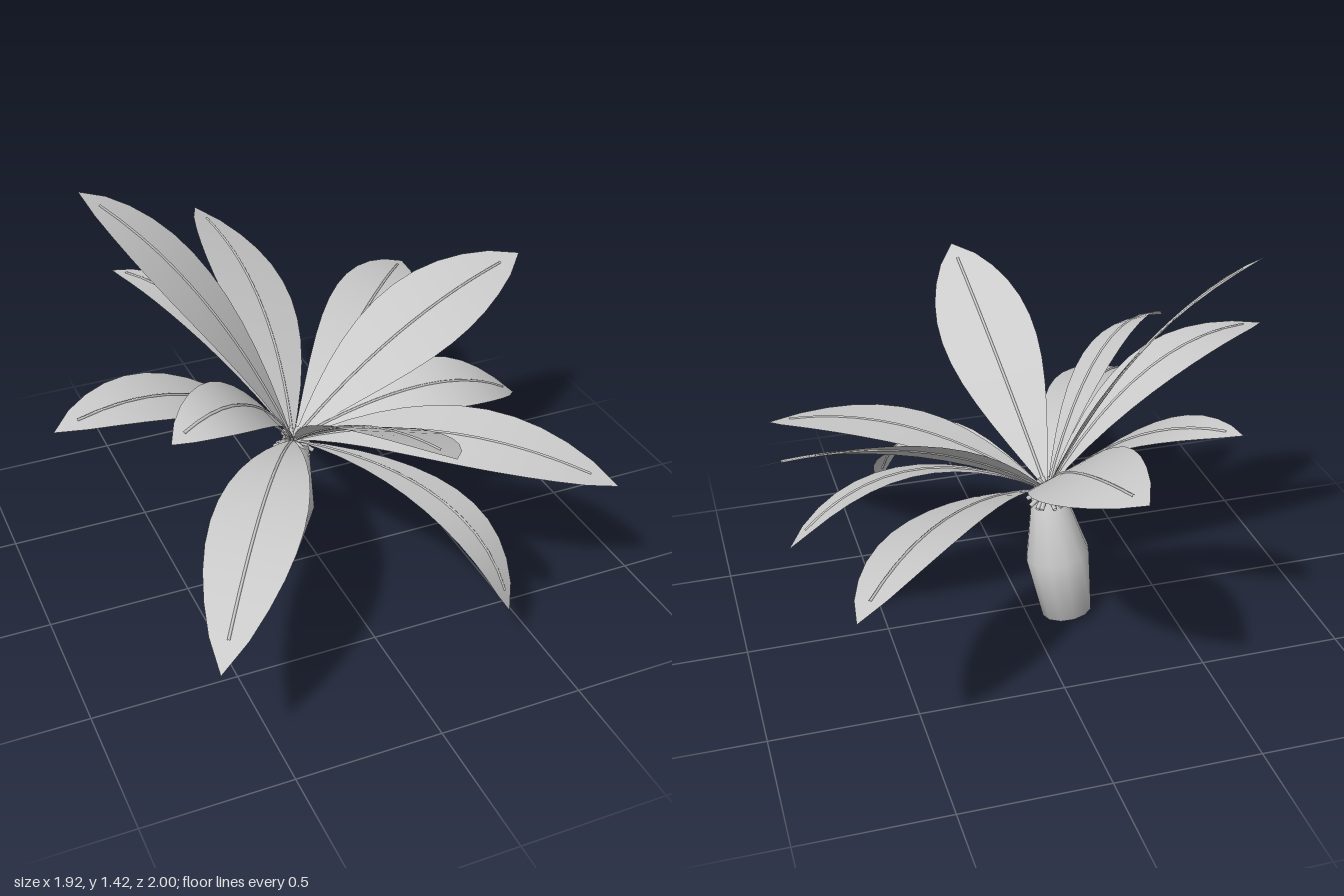
import * as THREE from 'three';

const grey = new THREE.MeshStandardMaterial({ color: 0xcccccc });
const leafGrey = new THREE.MeshStandardMaterial({ color: 0xcccccc, side: THREE.DoubleSide });

const CROWN = new THREE.Vector3(-0.075, 0.5, -0.04);
const ROWS = 12;

// Each leaf: middle of the arc, tip, greatest half width, roll (right side down)
const LEAVES = [
  [[-0.02, 0.83, -0.5], [-0.08, 0.985, -1], 0.16, 0.4],
  [[0.38, 0.7, -0.45], [0.745, 0.655, -0.87], 0.145, 0.3],
  [[0.4, 0.785, -0.15], [0.955, 0.9, -0.32], 0.155, 0.5],
  [[0.42, 0.63, 0], [0.835, 0.45, -0.09], 0.125, 0.35],
  [[0.35, 0.635, 0.32], [0.79, 0.53, 0.685], 0.16, 0.1],
  [[0.24, 0.495, 0.48], [0.375, 0.18, 0.74], 0.115, -0.2],
  [[-0.02, 0.83, 0.45], [0, 1.04, 0.995], 0.17, -0.28],
  [[-0.37, 0.615, 0.43], [-0.705, 0.44, 0.94], 0.15, 0],
  [[-0.36, 0.875, 0.24], [-0.655, 0.905, 0.415], 0.11, -0.5],
  [[-0.49, 0.86, 0.09], [-0.965, 0.915, 0.225], 0.14, -0.12],
  [[-0.35, 1.06, -0.18], [-0.685, 1.42, -0.355], 0.14, -0.2],
  [[-0.28, 0.86, -0.38], [-0.515, 0.965, -0.655], 0.1, 0.1],
];

// Parabolic arc from the crown through the middle point to the tip
function makeArc(middle, tip) {
  const end = new THREE.Vector3(...tip);
  const control = new THREE.Vector3(...middle).multiplyScalar(2)
    .addScaledVector(CROWN, -0.5).addScaledVector(end, -0.5);
  return new THREE.QuadraticBezierCurve3(CROWN, control, end);
}

// Leaf blade: rows of left edge, midrib and right edge, widest just past the middle
function bladeGeometry(arc, halfWidth, roll) {
  const positions = [], index = [];
  for (let row = 0; row <= ROWS; row++) {
    const t = row / ROWS;
    const p = arc.getPoint(t);
    const d = arc.getTangent(t);
    const width = halfWidth * Math.max(0.001, Math.sin(Math.PI * t ** 1.25)) ** 0.78;
    const side = new THREE.Vector3(-d.z, 0, d.x).normalize()
      .applyAxisAngle(d, roll).multiplyScalar(width);
    for (const s of [-1, 0, 1]) {
      positions.push(p.x + side.x * s, p.y + side.y * s, p.z + side.z * s);
    }
    if (row === 0) continue;
    for (let c = 0; c < 2; c++) {
      const a = (row - 1) * 3 + c, b = row * 3 + c;
      index.push(a, a + 1, b, a + 1, b + 1, b);
    }
  }
  const geometry = new THREE.BufferGeometry();
  geometry.setAttribute('position', new THREE.Float32BufferAttribute(positions, 3));
  geometry.setIndex(index);
  geometry.computeVertexNormals();
  return geometry;
}

// Midrib: a slim tube that stops just short of the tip
function ribGeometry(arc) {
  const points = [];
  for (let i = 0; i <= 10; i++) points.push(arc.getPoint(i * 0.092));
  return new THREE.TubeGeometry(new THREE.CatmullRomCurve3(points), 14, 0.005, 5);
}

function makeLeaf([middle, tip, halfWidth, roll]) {
  const arc = makeArc(middle, tip);
  const leaf = new THREE.Group();
  leaf.name = 'leaf';
  const blade = new THREE.Mesh(bladeGeometry(arc, halfWidth, roll), leafGrey);
  blade.name = 'blade';
  const rib = new THREE.Mesh(ribGeometry(arc), grey);
  rib.name = 'midrib';
  leaf.add(blade, rib);
  return leaf;
}

// Short stalk that carries a leaf through the crown
function makeStalk([middle]) {
  const out = new THREE.Vector3(middle[0] - CROWN.x, 0, middle[2] - CROWN.z).normalize();
  const start = CROWN.clone().addScaledVector(out, -0.07);
  start.y -= 0.04;
  const end = CROWN.clone().addScaledVector(out, 0.04);
  end.y += 0.03;
  const path = new THREE.LineCurve3(start, end);
  const stalk = new THREE.Mesh(new THREE.TubeGeometry(path, 1, 0.008, 6), leafGrey);
  stalk.name = 'stalk';
  return stalk;
}

// Bulging trunk, leaning towards the crown
function makeTrunk() {
  const profile = [[0, 0], [0.09, 0], [0.115, 0.23], [0.057, 0.475], [0, 0.485]]
    .map(([r, y]) => new THREE.Vector2(r, y));
  const trunk = new THREE.Mesh(new THREE.LatheGeometry(profile, 12), grey);
  trunk.name = 'trunk';
  const lean = new THREE.Vector3(0.12, 1, 0.14).normalize();
  trunk.quaternion.setFromUnitVectors(new THREE.Vector3(0, 1, 0), lean);
  trunk.position.set(-0.14, 0.017, -0.08);
  return trunk;
}

export function createModel() {
  const model = new THREE.Group();
  model.name = 'palmPlant';
  model.add(makeTrunk());
  for (const spec of LEAVES) model.add(makeStalk(spec), makeLeaf(spec));
  return model;
}
